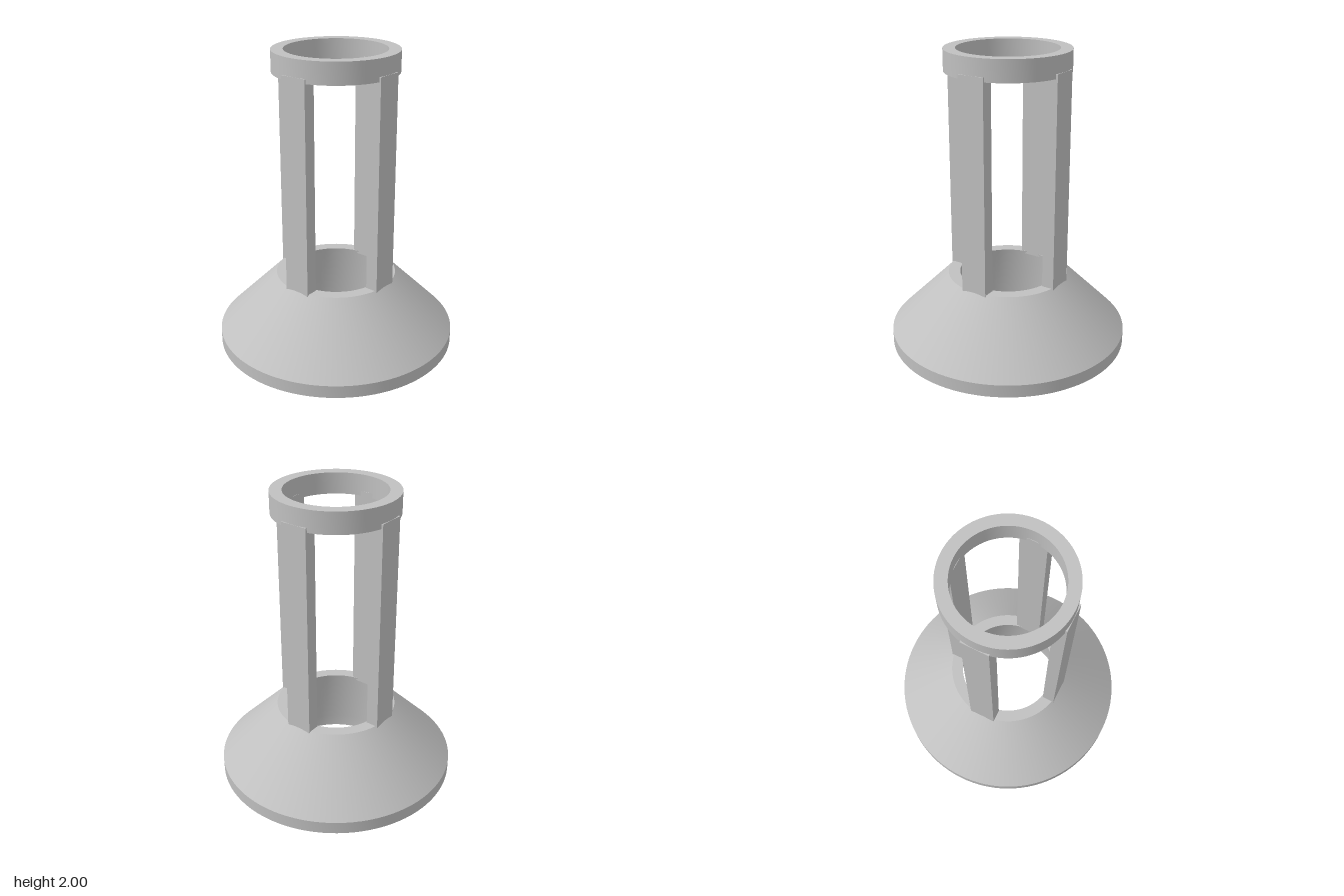
import * as THREE from 'three';
import { toCreasedNormals } from 'three/addons/utils/BufferGeometryUtils.js';

const grey = new THREE.MeshStandardMaterial({ color: 0xc0c0c0 });
grey.name = 'plain grey';

// Turned solid from a closed profile of [radius, height] points, outside going up
function turned(name, profile) {
  const points = profile.map(([r, y]) => new THREE.Vector2(r, y));
  points.push(points[0].clone());
  const geometry = toCreasedNormals(new THREE.LatheGeometry(points, 96), Math.PI / 7);
  const mesh = new THREE.Mesh(geometry, grey);
  mesh.name = name;
  return mesh;
}

export function createModel() {
  const model = new THREE.Group();
  model.name = 'pillarStand';

  // Flared foot with a slightly tapering bore
  model.add(turned('base', [
    [0.39, 0], [0.8, 0], [0.8, 0.085], [0.405, 0.48], [0.327, 0.48], [0.39, 0.085],
  ]));

  // Upper collar
  model.add(turned('topRing', [
    [0.327, 1.86], [0.405, 1.86], [0.405, 2], [0.327, 2],
  ]));

  // Four flat posts on the diagonals
  const bottom = 0.46, top = 1.89;
  const postGeometry = new THREE.BoxGeometry(0.18, top - bottom, 0.083);
  postGeometry.translate(0, (bottom + top) / 2, 0.3655);
  for (let i = 0; i < 4; i++) {
    const post = new THREE.Mesh(postGeometry, grey);
    post.name = `post${i + 1}`;
    post.rotation.y = Math.PI / 4 + (i * Math.PI) / 2;
    model.add(post);
  }

  return model;
}
